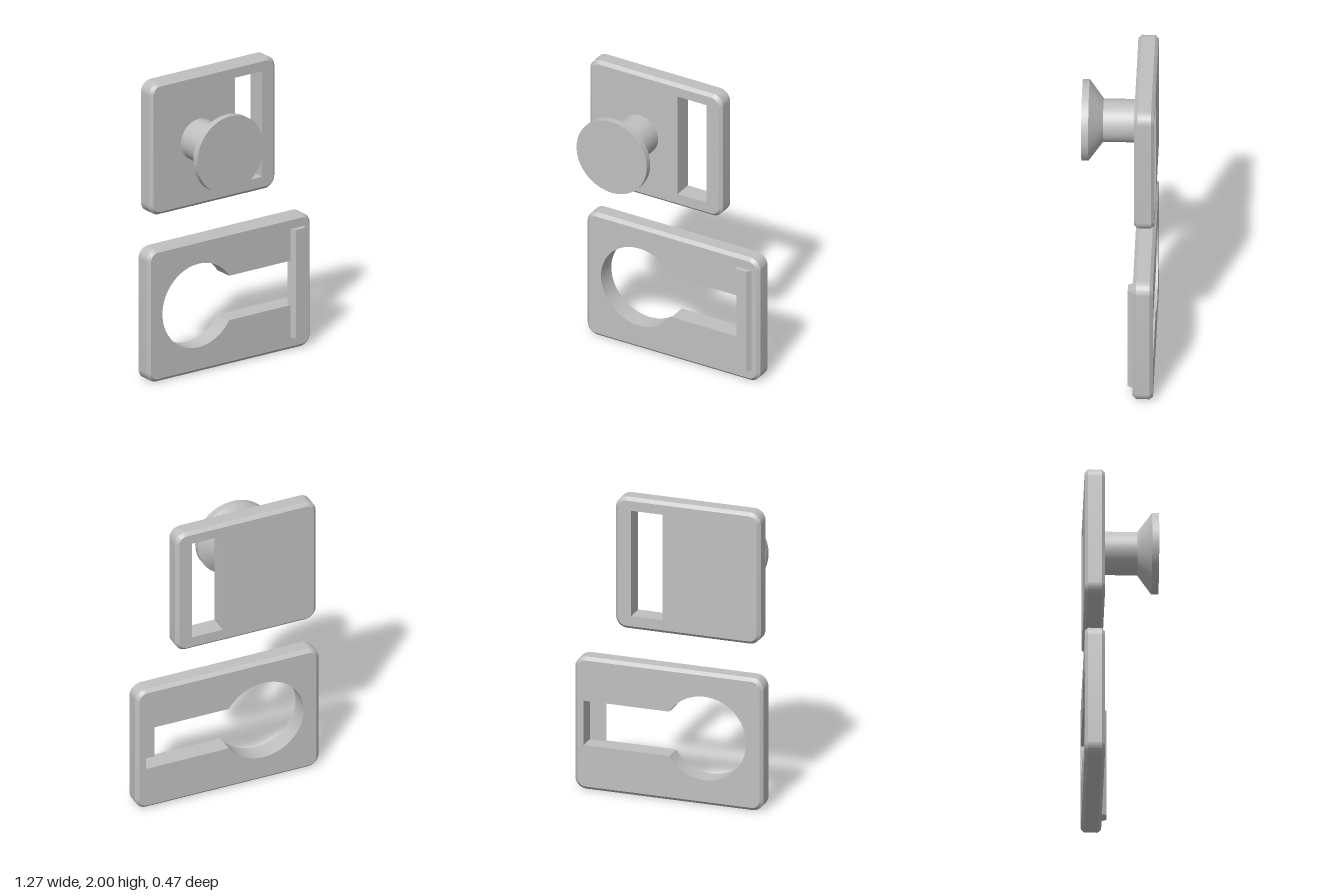
import * as THREE from 'three';
import { toCreasedNormals } from 'three/addons/utils/BufferGeometryUtils.js';

const BACK = -0.236, FRONT = -0.108, RADIUS = 0.075, CHAMFER = 0.021;

function roundedRect(x0, x1, y0, y1, r) {
  const s = new THREE.Shape();
  s.moveTo(x0 + r, y0);
  s.lineTo(x1 - r, y0);
  s.absarc(x1 - r, y0 + r, r, -Math.PI / 2, 0);
  s.lineTo(x1, y1 - r);
  s.absarc(x1 - r, y1 - r, r, 0, Math.PI / 2);
  s.lineTo(x0 + r, y1);
  s.absarc(x0 + r, y1 - r, r, Math.PI / 2, Math.PI);
  s.lineTo(x0, y0 + r);
  s.absarc(x0 + r, y0 + r, r, Math.PI, Math.PI * 1.5);
  return s;
}

// Rounded plate: chamfered outer rim, sharp-edged opening
function plateGeometry(x0, x1, y0, y1, hole) {
  const depth = FRONT - BACK;
  const shape = roundedRect(x0, x1, y0, y1, RADIUS);
  shape.holes.push(hole);
  const geo = new THREE.ExtrudeGeometry(shape, { depth, steps: 3, bevelEnabled: false, curveSegments: 24 });
  const levels = [0, CHAMFER, depth - CHAMFER, depth];
  const pos = geo.attributes.position;
  for (let i = 0; i < pos.count; i++) {
    const level = Math.round(pos.getZ(i) / depth * 3);
    pos.setZ(i, BACK + levels[level]);
    if (level === 1 || level === 2) continue;
    // Pull the end outlines in towards the core rectangle
    const x = pos.getX(i), y = pos.getY(i);
    const cx = THREE.MathUtils.clamp(x, x0 + RADIUS, x1 - RADIUS);
    const cy = THREE.MathUtils.clamp(y, y0 + RADIUS, y1 - RADIUS);
    if (Math.hypot(x - cx, y - cy) < RADIUS - 0.001) continue;
    const k = (RADIUS - CHAMFER) / RADIUS;
    pos.setXY(i, cx + (x - cx) * k, cy + (y - cy) * k);
  }
  return toCreasedNormals(geo, 0.5);
}

export function createModel() {
  const group = new THREE.Group();
  const grey = new THREE.MeshStandardMaterial({ color: 0xc0c0c0 });
  grey.name = 'light grey';
  const add = (name, geo) => {
    const mesh = new THREE.Mesh(geo, grey);
    mesh.name = name;
    group.add(mesh);
    return mesh;
  };

  // Upper plate with a tall strap slot
  const strap = new THREE.Path();
  strap.moveTo(0.037, 1.207);
  strap.lineTo(0.249, 1.207);
  strap.lineTo(0.249, 1.915);
  strap.lineTo(0.037, 1.915);
  strap.closePath();
  add('knobPlate', plateGeometry(-0.615, 0.358, 1.117, 2, strap));

  // Knob: stem flaring out to a flat disc
  const profile = [[0.137, FRONT - 0.02], [0.137, 0.102], [0.257, 0.192], [0.257, 0.236], [0, 0.236]]
    .map(([r, h]) => new THREE.Vector2(r, h));
  const knob = new THREE.LatheGeometry(profile, 72);
  knob.rotateX(Math.PI / 2);
  add('knob', toCreasedNormals(knob, 0.5)).position.set(-0.243, 1.562, 0);

  // Lower plate with a keyhole opening
  const cx = -0.244, cy = 0.448, r = 0.28, half = 0.149, slotEnd = 0.568;
  const a = Math.asin(half / r);
  const keyhole = new THREE.Path();
  keyhole.moveTo(slotEnd, cy + half);
  keyhole.lineTo(cx + r * Math.cos(a), cy + half);
  keyhole.absarc(cx, cy, r, a, Math.PI * 2 - a, false);
  keyhole.lineTo(slotEnd, cy - half);
  keyhole.closePath();
  add('keyholePlate', plateGeometry(-0.634, 0.632, 0, 0.889, keyhole));

  // Tapered ridge crossing the closed end of the keyhole slot
  const section = new THREE.Shape();
  section.moveTo(0.457, 0.126);
  section.lineTo(0.588, 0.126);
  section.lineTo(0.556, 0.075);
  section.lineTo(0.489, 0.075);
  section.closePath();
  const ridge = new THREE.ExtrudeGeometry(section, { depth: 0.727, bevelEnabled: false });
  ridge.rotateX(-Math.PI / 2);
  add('ridge', ridge).position.y = 0.082;

  return group;
}
